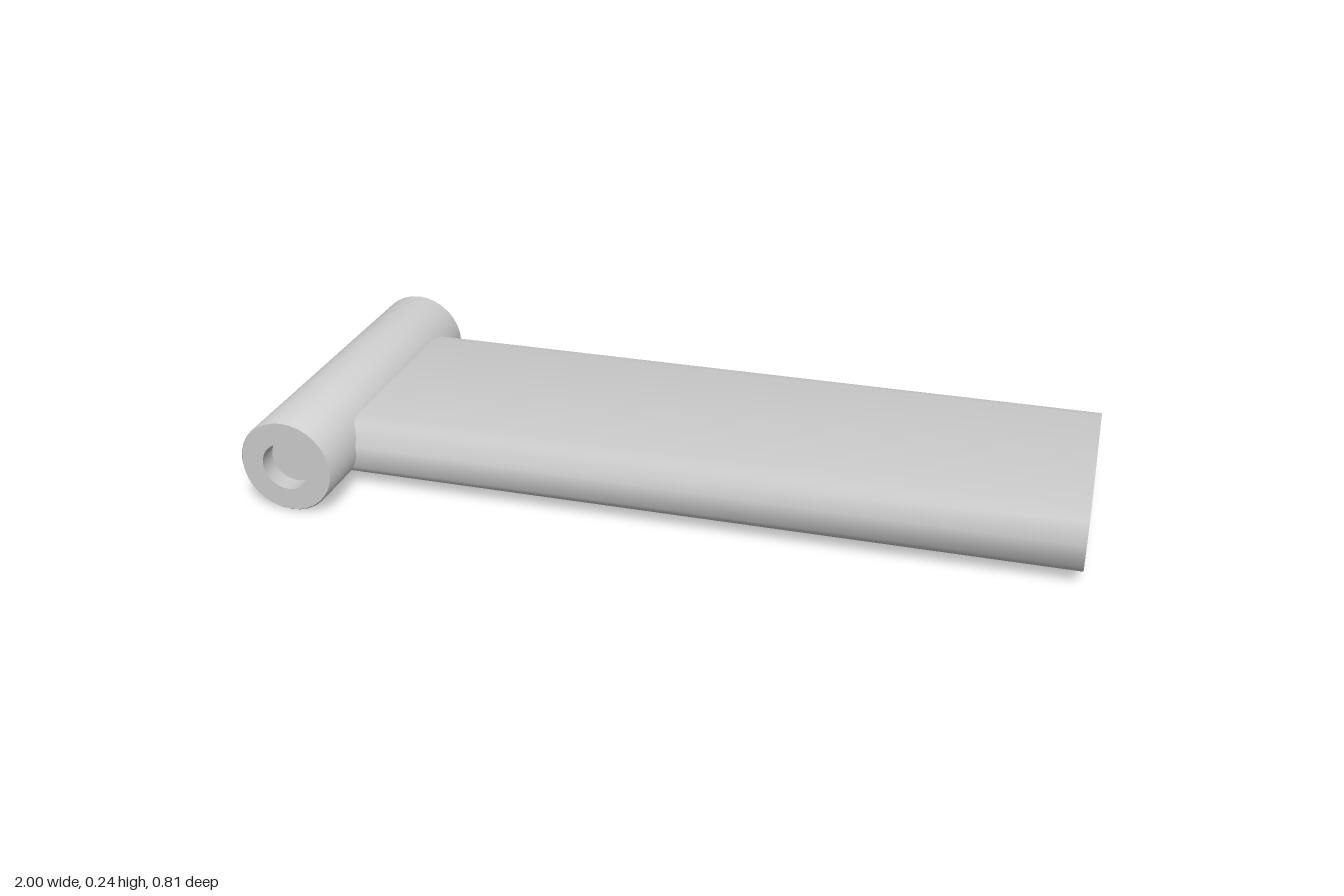
import * as THREE from 'three';
import { toCreasedNormals } from 'three/addons/utils/BufferGeometryUtils.js';

const CREASE = 0.75;

export function createModel() {
  const model = new THREE.Group();
  model.name = 'hingeArm';
  const add = (name, geometry) => {
    const material = new THREE.MeshStandardMaterial({ color: 0xcccccc, side: THREE.DoubleSide });
    const mesh = new THREE.Mesh(toCreasedNormals(geometry, CREASE), material);
    mesh.name = name;
    model.add(mesh);
    return mesh;
  };

  // Barrel: thin shell open at the back, front cap with a shallow round recess
  const profile = [
    [0.119, -0.407], [0.119, 0.403], [0.116, 0.407],
    [0.061, 0.407], [0.061, 0.36], [0, 0.36],
  ].map(([r, y]) => new THREE.Vector2(r, y));
  const barrel = add('barrel', new THREE.LatheGeometry(profile, 32).rotateX(Math.PI / 2));
  barrel.position.set(-0.881, 0.119, 0);

  // Arm: flat bar with rounded long edges, its inner end buried in the barrel
  const halfSection = [[0.24, 0.03], [0.275, 0.038], [0.294, 0.06], [0.303, 0.12], [0.274, 0.172], [0.24, 0.18]];
  const section = [
    ...halfSection,
    ...halfSection.map(([x, y]) => [-x, y]).reverse(),
  ].map(([x, y]) => new THREE.Vector2(x, y));
  const arm = add('arm', new THREE.ExtrudeGeometry(new THREE.Shape(section), {
    depth: 1.825, bevelEnabled: false,
  }).rotateY(Math.PI / 2));
  arm.position.set(-0.825, 0, -0.03);

  return model;
}
